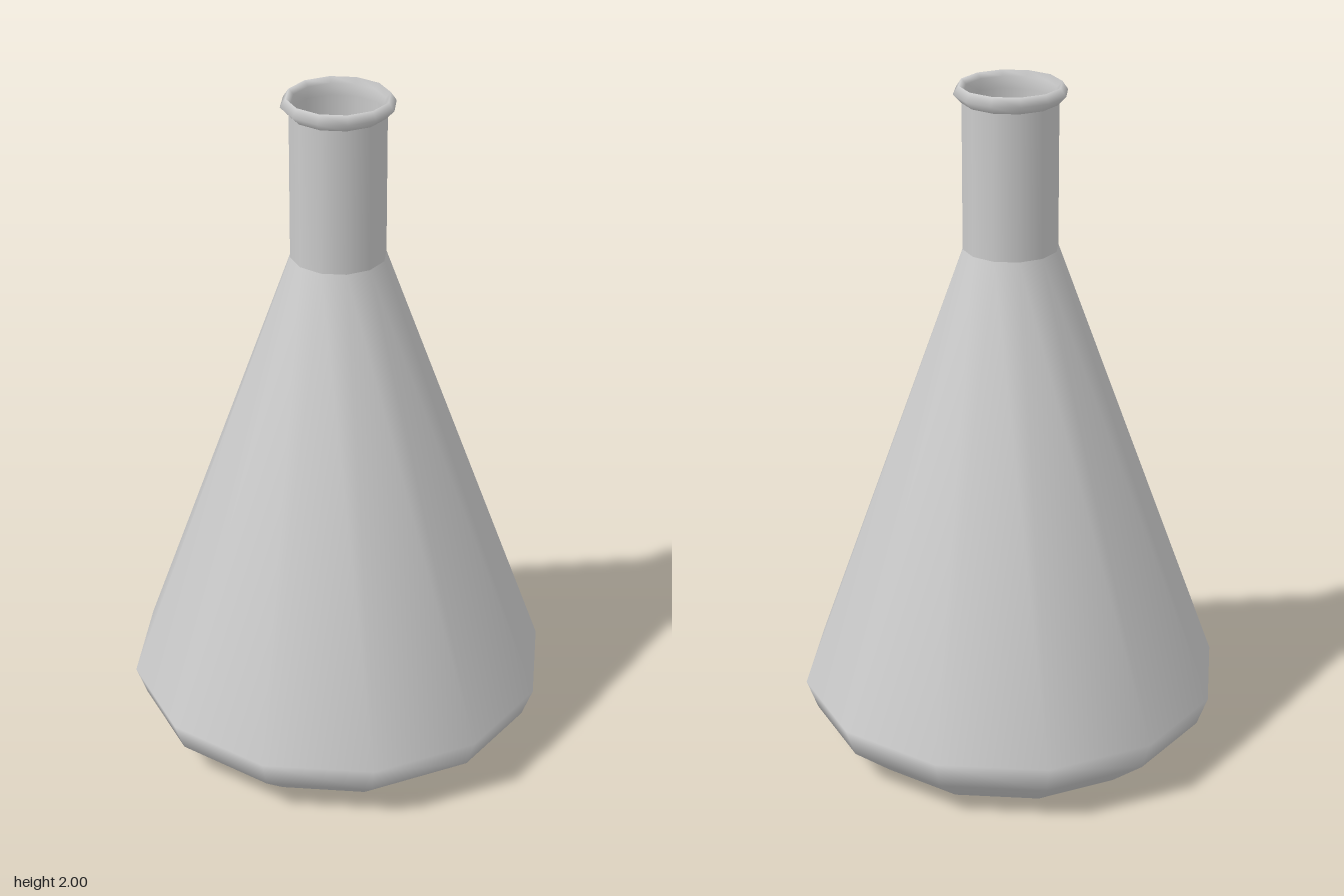
import * as THREE from 'three';

const SIDES = 12;

export function createModel() {
  const flask = new THREE.Group();
  flask.name = 'conicalFlask';
  const glass = new THREE.MeshStandardMaterial({ color: 0xcccccc, side: THREE.DoubleSide });
  const red = new THREE.MeshStandardMaterial({ color: 0xdd0c1c });

  // Revolves a [radius, height] profile, listed from bottom to top
  function turned(name, profile, material) {
    const points = profile.map(([r, y]) => new THREE.Vector2(r, y));
    const mesh = new THREE.Mesh(new THREE.LatheGeometry(points, SIDES), material);
    mesh.name = name;
    flask.add(mesh);
  }

  // Flat disc lying across the flask, facing up or down
  function disc(name, radius, y, up, material) {
    const mesh = new THREE.Mesh(new THREE.CircleGeometry(radius, SIDES), material);
    mesh.rotation.x = up ? -Math.PI / 2 : Math.PI / 2;
    mesh.position.y = y;
    mesh.name = name;
    flask.add(mesh);
  }

  // Glass shell: flat base, rounded heel with cone, straight neck
  disc('base', 0.467, 0, false, glass);
  turned('body', [[0.467, 0], [0.588, 0.1], [0.62, 0.187], [0.137, 1.527]], glass);
  turned('neck', [[0.137, 1.527], [0.137, 1.955]], glass);

  // Beaded lip, curling over into the mouth
  turned('rim', [[0.136, 1.95], [0.161, 1.976], [0.145, 2], [0.131, 1.985], [0.131, 1.95]], glass);

  // Liquid just inside the shell
  turned('liquid', [[0.45, 0.02], [0.57, 0.11], [0.6, 0.187], [0.38, 0.8]], red);
  disc('liquidSurface', 0.38, 0.8, true, red);
  disc('liquidBottom', 0.45, 0.02, false, red);

  return flask;
}
